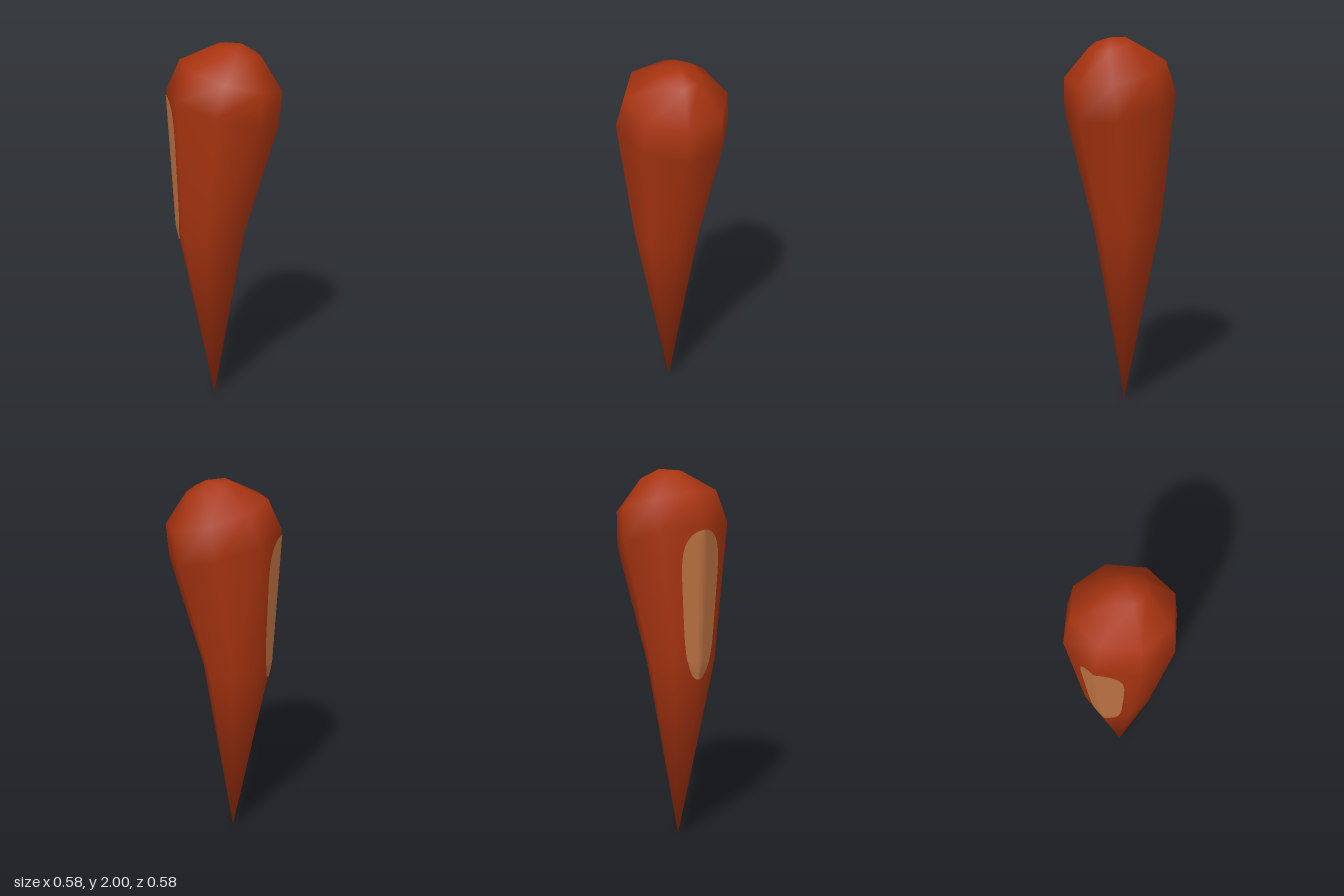
import * as THREE from 'three';

const SIDES = 8;
const START = 10; // azimuth of the first corner, degrees

// Tilted octagonal rings from the tip up: centre x, y, z, radius, slope
const RINGS = [
  [-0.033, 0, 0.04, 0, 0],
  [-0.05, 0.99, 0.052, 0.183, 0.1],
  [-0.004, 1.665, 0.004, 0.294, 0.3],
  [0.027, 1.835, -0.027, 0.266, 0.29],
  [0.058, 1.968, -0.058, 0.11, 0.29],
  [0.063, 2.0, -0.063, 0, 0],
];

// Corner of a ring at an azimuth in degrees
function corner([cx, cy, cz, r, slope], deg) {
  const a = THREE.MathUtils.degToRad(deg);
  const dx = r * Math.cos(a), dz = r * Math.sin(a);
  return new THREE.Vector3(cx + dx, cy + slope * (dz - dx) * Math.SQRT1_2, cz + dz);
}

// Point on the faceted surface: t is the ring number, with fractions between rings
function surface(deg, t) {
  const step = 360 / SIDES;
  const i = Math.floor((deg - START) / step);
  const f = (deg - START) / step - i;
  const k = Math.min(Math.floor(t), RINGS.length - 2);
  const onRing = (ring) =>
    corner(ring, START + i * step).lerp(corner(ring, START + (i + 1) * step), f);
  return onRing(RINGS[k]).lerp(onRing(RINGS[k + 1]), t - k);
}

function makeGeometry(points, index) {
  const g = new THREE.BufferGeometry().setFromPoints(points);
  g.setIndex(index);
  g.computeVertexNormals();
  return g;
}

// Body: single tip point, four rings, single top point
function bodyGeometry() {
  const points = [corner(RINGS[0], 0)];
  const index = [];
  const rings = RINGS.slice(1, -1);
  for (const ring of rings)
    for (let i = 0; i < SIDES; i++) points.push(corner(ring, START + (i * 360) / SIDES));
  const top = points.length;
  points.push(corner(RINGS[RINGS.length - 1], 0));
  const id = (k, i) => 1 + k * SIDES + (i % SIDES);
  const last = rings.length - 1;
  for (let i = 0; i < SIDES; i++) {
    index.push(0, id(0, i), id(0, i + 1));
    for (let k = 0; k < last; k++) {
      index.push(id(k, i), id(k + 1, i), id(k, i + 1));
      index.push(id(k, i + 1), id(k + 1, i), id(k + 1, i + 1));
    }
    index.push(id(last, i), top, id(last, i + 1));
  }
  return makeGeometry(points, index);
}

// Rounded highlight strip lying just above the body surface
function stripGeometry() {
  const rows = 32, cols = 8;
  const points = [], index = [];
  for (let j = 0; j <= rows; j++) {
    const v = -Math.cos((Math.PI * j) / rows);
    const t = 1.442 + 0.523 * v;
    const width = Math.pow(Math.max(0, 1 - Math.pow(Math.abs(v), 5)), 0.45);
    for (let i = 0; i <= cols; i++) {
      const s = (i / cols) * 2 - 1;
      const deg = 145 + s * width * (s < 0 ? 31 : 25);
      const a = THREE.MathUtils.degToRad(deg);
      const p = surface(deg, t);
      p.x += 0.005 * Math.cos(a);
      p.z += 0.005 * Math.sin(a);
      points.push(p);
    }
  }
  for (let j = 0; j < rows; j++)
    for (let i = 0; i < cols; i++) {
      const a = j * (cols + 1) + i, b = a + 1, c = a + cols + 1, d = c + 1;
      index.push(a, c, b, b, c, d);
    }
  return makeGeometry(points, index);
}

export function createModel() {
  const rust = new THREE.MeshStandardMaterial({ color: 0xa83410 });
  rust.name = 'rust red';
  const tan = new THREE.MeshStandardMaterial({ color: 0xbe7343 });
  tan.name = 'tan highlight';

  const model = new THREE.Group();
  model.name = 'taperedDrop';
  const body = new THREE.Mesh(bodyGeometry(), rust);
  body.name = 'body';
  const strip = new THREE.Mesh(stripGeometry(), tan);
  strip.name = 'highlightStrip';
  model.add(body, strip);
  return model;
}
